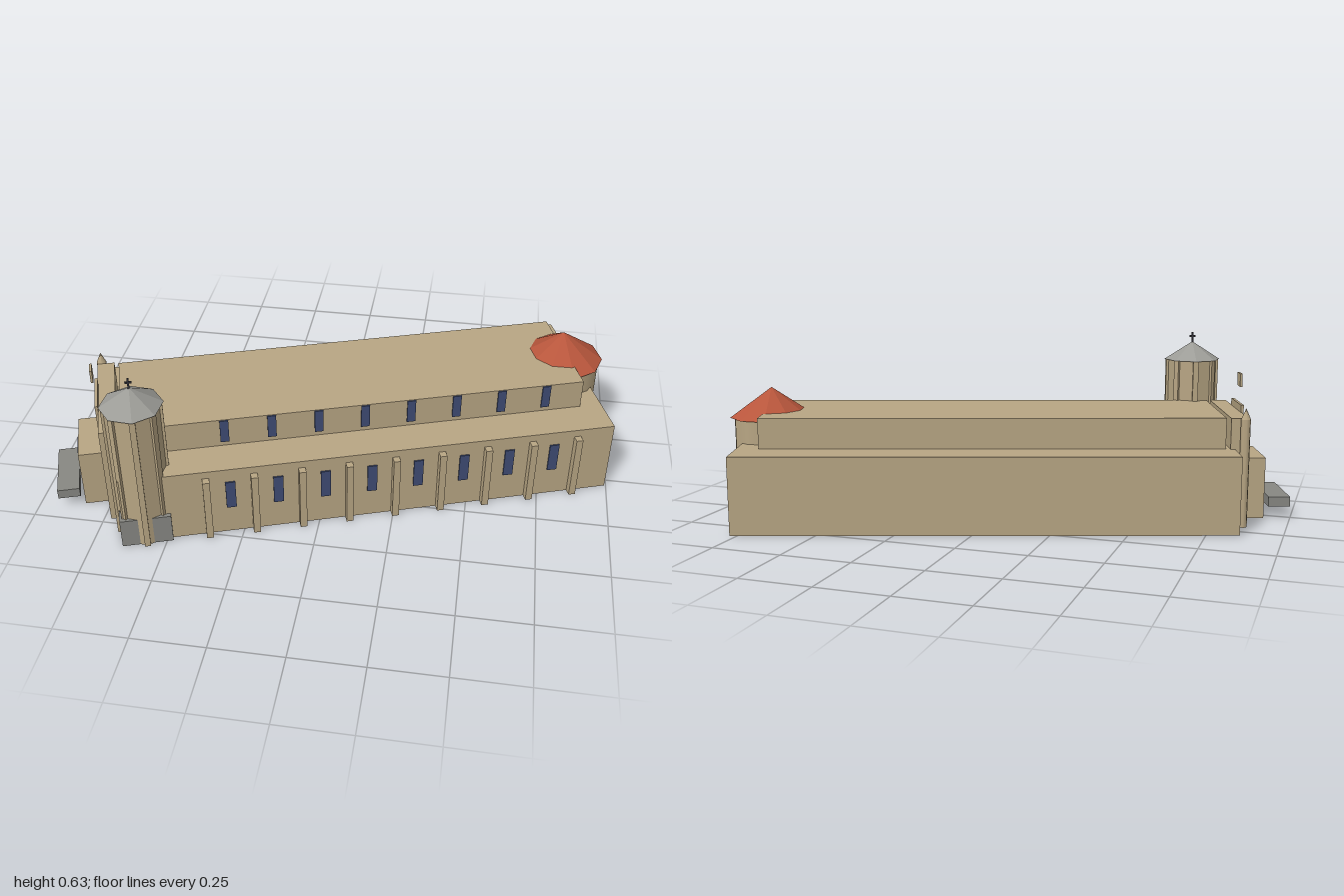
import * as THREE from 'three';

export function createModel() {
  const model = new THREE.Group();
  model.name = 'church';

  const mat = (name, color, flatShading = false) => {
    const m = new THREE.MeshStandardMaterial({ color, flatShading });
    m.name = name;
    return m;
  };
  const stone = mat('sandstone', 0xb8a684);
  const tile = mat('redTile', 0xb8563c, true);
  const slate = mat('slate', 0x9c9c97, true);
  const grey = mat('greyStone', 0x888883);
  const glass = mat('blueGlass', 0x3f4c74);
  const iron = mat('darkIron', 0x33333a);

  // The whole plan is turned about the vertical axis
  const plan = new THREE.Group();
  plan.name = 'building';
  plan.rotation.y = 0.33;
  model.add(plan);

  const add = (name, geo, material, x, y, z, parent = plan) => {
    const m = new THREE.Mesh(geo, material);
    m.name = name;
    m.position.set(x, y, z);
    parent.add(m);
    return m;
  };
  // Box given by its limits on each axis
  const block = (name, material, x0, x1, y0, y1, z0, z1, parent = plan) =>
    add(name, new THREE.BoxGeometry(x1 - x0, y1 - y0, z1 - z0), material,
      (x0 + x1) / 2, (y0 + y1) / 2, (z0 + z1) / 2, parent);
  const drum = (name, material, r, y0, y1, sides, x, z, parent = plan) =>
    add(name, new THREE.CylinderGeometry(r, r, y1 - y0, sides), material, x, (y0 + y1) / 2, z, parent);
  const cone = (name, material, r, y0, y1, sides, x, z, parent = plan) =>
    add(name, new THREE.ConeGeometry(r, y1 - y0, sides), material, x, (y0 + y1) / 2, z, parent);

  // Main volumes
  block('aisles', stone, -0.797, 0.931, 0, 0.272, -0.326, 0.351);
  block('nave', stone, -0.767, 0.852, 0.25, 0.38, -0.189, 0.217);
  block('facade', stone, -0.842, -0.782, 0, 0.38, -0.195, 0.219);

  // Buttresses with windows between them, and the clerestory windows above
  const first = -0.506, step = 0.163;
  for (let i = 0; i < 9; i++) {
    const x = first + i * step;
    block('buttress', stone, x - 0.012, x + 0.012, 0, 0.245, 0.345, 0.377);
    if (i === 8) continue;
    const w = x + step / 2;
    block('aisleWindow', glass, w - 0.017, w + 0.017, 0.11, 0.22, 0.348, 0.356);
    block('clerestoryWindow', glass, w - 0.015, w + 0.015, 0.29, 0.378, 0.214, 0.222);
  }

  // Apse with a faceted conical roof
  drum('apse', stone, 0.137, 0, 0.356, 12, 0.841, 0.013);
  cone('apseRoof', tile, 0.15, 0.355, 0.46, 10, 0.841, 0.013);

  // Bell tower with ribs on its corners
  const tower = new THREE.Group();
  tower.name = 'tower';
  tower.position.set(-0.72, 0, 0.282);
  plan.add(tower);
  const shaft = new THREE.CylinderGeometry(0.094, 0.094, 0.53, 8).toNonIndexed();
  shaft.computeVertexNormals();
  add('towerShaft', shaft, stone, 0, 0.265, 0, tower);
  for (let i = 0; i < 8; i++) {
    const a = (i * Math.PI) / 4;
    const rib = add('towerRib', new THREE.BoxGeometry(0.02, 0.53, 0.02), stone,
      Math.sin(a) * 0.089, 0.265, Math.cos(a) * 0.089, tower);
    rib.rotation.y = a;
  }
  cone('towerRoof', slate, 0.105, 0.53, 0.597, 8, 0, 0, tower);
  block('crossPost', iron, -0.003, 0.003, 0.59, 0.632, -0.003, 0.003, tower);
  block('crossArm', iron, -0.011, 0.011, 0.614, 0.62, -0.003, 0.003, tower);
  block('towerPlinth', grey, -0.805, -0.632, 0, 0.11, 0.225, 0.366);

  // West front: porch, door, landing, gable panel, plaque and corner pinnacle
  block('porch', stone, -0.93, -0.84, 0, 0.22, -0.092, 0.12);
  block('door', glass, -0.936, -0.928, 0.06, 0.19, -0.026, 0.06);
  block('landing', grey, -1.02, -0.943, 0.045, 0.08, -0.106, 0.13);
  block('gablePanel', stone, -0.85, -0.84, 0.22, 0.406, -0.068, 0.102);
  block('floatingPlaque', stone, -0.855, -0.847, 0.463, 0.51, -0.007, 0.041);
  drum('cornerTurret', stone, 0.017, 0, 0.38, 8, -0.828, -0.21);
  cone('turretCap', stone, 0.017, 0.38, 0.418, 8, -0.828, -0.21);

  return model;
}
